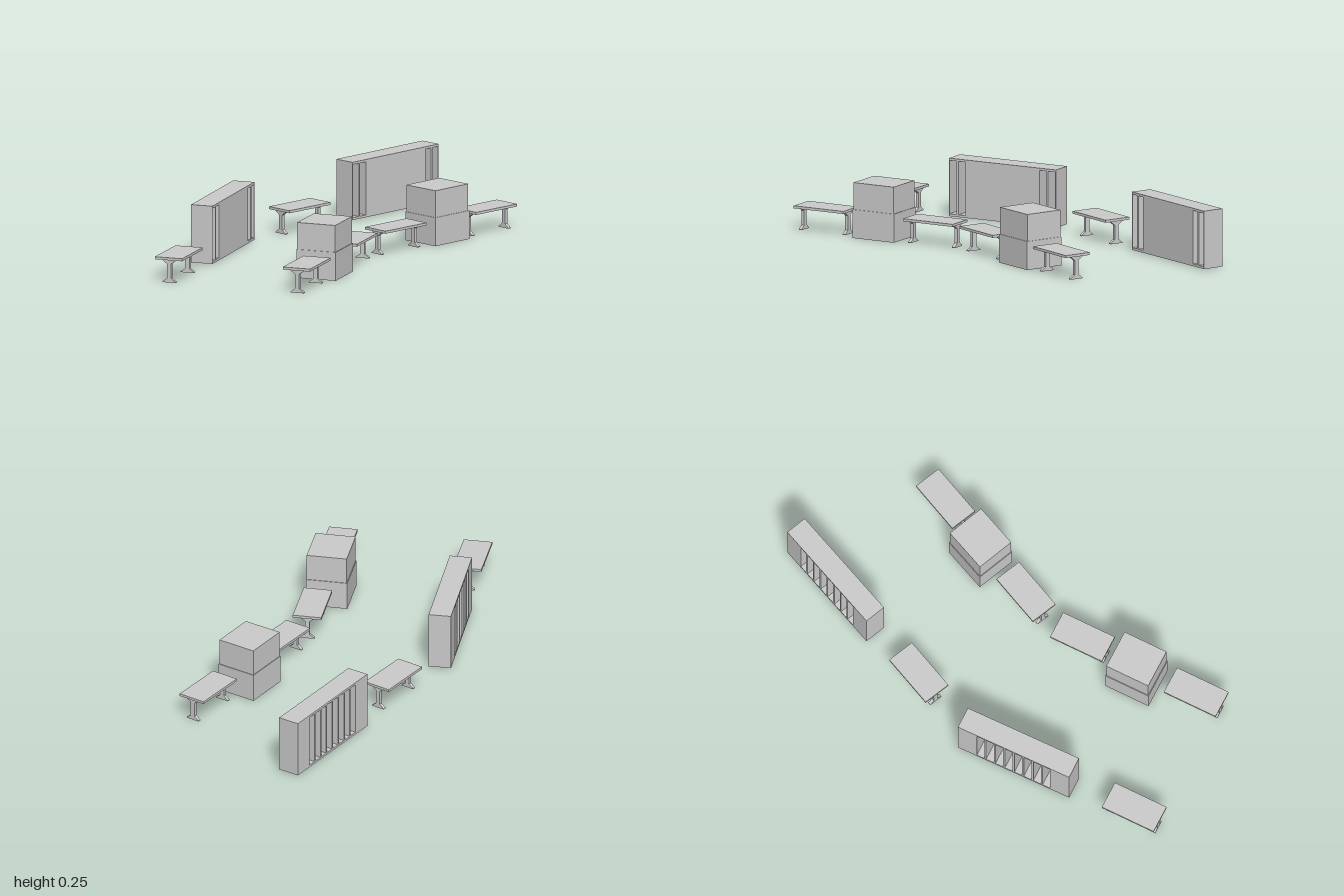
import * as THREE from 'three';

const mat = new THREE.MeshStandardMaterial({ color: 0xcccccc, flatShading: true });

function mesh(name, geometry, x = 0, y = 0, z = 0) {
  const m = new THREE.Mesh(geometry, mat);
  m.name = name;
  m.position.set(x, y, z);
  return m;
}

function box(name, w, y0, y1, d, x = 0, z = 0) {
  return mesh(name, new THREE.BoxGeometry(w, y1 - y0, d), x, (y0 + y1) / 2, z);
}

// Side profile of a leg: wide foot, slim column, flared head
function legGeometry(thickness) {
  const half = [[0.03, 0], [0.03, 0.003], [0.0095, 0.018], [0.0095, 0.08], [0.03, 0.095], [0.03, 0.098]];
  const pts = [...half, ...half.map(([x, y]) => [-x, y]).reverse()];
  const shape = new THREE.Shape(pts.map(([x, y]) => new THREE.Vector2(x, y)));
  return new THREE.ExtrudeGeometry(shape, { depth: thickness, bevelEnabled: false })
    .translate(0, 0, -thickness / 2);
}

function makeTable() {
  const g = new THREE.Group();
  g.name = 'table';
  g.add(box('tableTop', 0.122, 0.097, 0.108, 0.243));
  for (const s of [-1, 1]) g.add(mesh('tableLeg', legGeometry(0.014), 0, 0, s * 0.107));
  return g;
}

// Two stacked blocks, the lower one slightly larger
function makeBlock() {
  const g = new THREE.Group();
  g.name = 'block';
  g.add(box('lowerBlock', 0.177, 0, 0.122, 0.203));
  g.add(box('upperBlock', 0.171, 0.122, 0.237, 0.197));
  return g;
}

const DEPTH = 0.095, BOTTOM = 0.004, TOP = 0.252, BACK = 0.015;

// Cabinet section with tall open slots facing +x
function makeSection(width, slots) {
  const g = new THREE.Group();
  g.name = 'cabinetSection';
  const h = width / 2, pitch = width / slots;
  const shape = new THREE.Shape();
  shape.moveTo(-h, BOTTOM).lineTo(h, BOTTOM).lineTo(h, TOP).lineTo(-h, TOP).closePath();
  for (let i = 0; i < slots; i++) {
    const a = -h + i * pitch + 0.004, b = -h + (i + 1) * pitch - 0.004;
    const hole = new THREE.Path();
    hole.moveTo(a, BOTTOM + 0.01).lineTo(a, TOP - 0.01).lineTo(b, TOP - 0.01).lineTo(b, BOTTOM + 0.01).closePath();
    shape.holes.push(hole);
  }
  const frame = new THREE.ExtrudeGeometry(shape, { depth: DEPTH - BACK, bevelEnabled: false });
  frame.rotateY(Math.PI / 2);
  g.add(mesh('slotFrame', frame, BACK - DEPTH / 2));
  g.add(box('backPanel', BACK, BOTTOM, TOP, width, (BACK - DEPTH) / 2));
  return g;
}

// End sections open towards +x, the three middle ones towards -x
function makeCabinet() {
  const g = new THREE.Group();
  g.name = 'cabinet';
  const sections = [[-0.217, 0.084, 2, 1], [-0.1315, 0.087, 2, -1], [0, 0.176, 4, -1], [0.1315, 0.087, 2, -1], [0.217, 0.084, 2, 1]];
  for (const [z, width, slots, facing] of sections) {
    const s = makeSection(width, slots);
    s.position.z = z;
    if (facing < 0) s.rotation.y = Math.PI;
    g.add(s);
  }
  return g;
}

export function createModel() {
  const model = new THREE.Group();
  model.name = 'furnitureRows';
  // maker, x, z, turn about y
  const layout = [
    [makeCabinet, -0.32, -0.738, -0.107],
    [makeCabinet, -0.344, 0.351, 0.318],
    [makeBlock, 0.209, -0.403, -0.107],
    [makeBlock, 0.273, 0.444, 0.3],
    [makeTable, 0.267, -0.663, -0.125],
    [makeTable, 0.202, -0.131, -0.125],
    [makeTable, -0.37, -0.205, -0.125],
    [makeTable, 0.221, 0.18, 0.3],
    [makeTable, 0.375, 0.695, 0.3],
    [makeTable, -0.176, 0.864, 0.3],
  ];
  for (const [make, x, z, turn] of layout) {
    const part = make();
    part.position.set(x, 0, z);
    part.rotation.y = turn;
    model.add(part);
  }
  return model;
}
